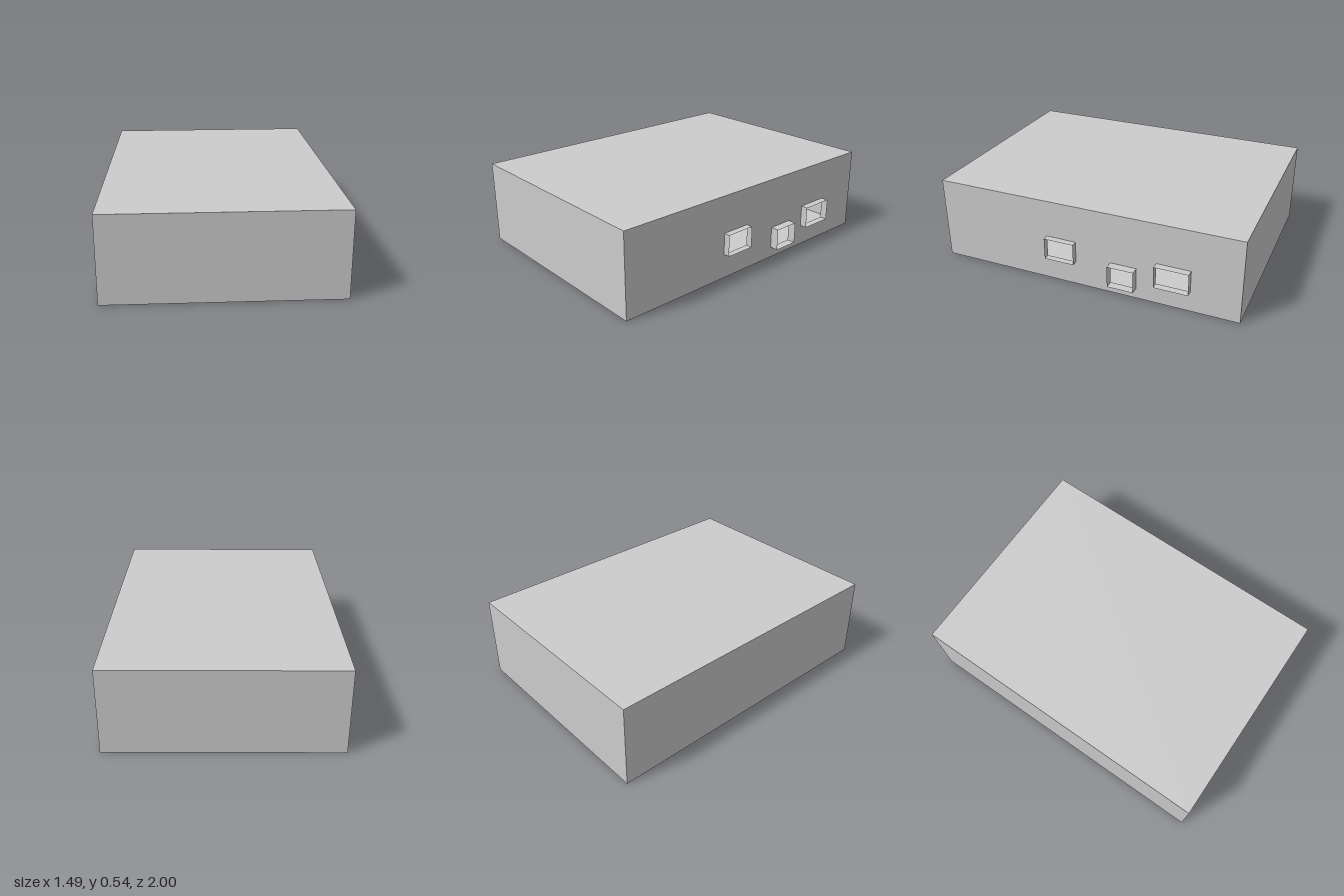
import * as THREE from 'three';

const BODY = { x0: -0.745, x1: 0.69, h: 0.543, z: 1 };

// Port openings in the side wall: z range, y range, outer x of the sleeve
const PORTS = [
  { name: 'frontPort', z: [0.053, 0.25], y: [0.16, 0.3], x: 0.732 },
  { name: 'middlePort', z: [-0.35, -0.18], y: [0.07, 0.21], x: 0.745 },
  { name: 'rearPort', z: [-0.692, -0.475], y: [0.137, 0.278], x: 0.737 },
];

const material = new THREE.MeshStandardMaterial({
  color: 0xcccccc, flatShading: true, side: THREE.DoubleSide,
});

// Thin box between two corners, leaving out the first faces (order: +x, -x, ...)
function openBox(name, [x0, x1], [y0, y1], [z0, z1], skipFaces) {
  const geometry = new THREE.BoxGeometry(x1 - x0, y1 - y0, z1 - z0);
  geometry.setIndex(Array.from(geometry.index.array).slice(skipFaces * 6));
  geometry.clearGroups();
  geometry.translate((x0 + x1) / 2, (y0 + y1) / 2, (z0 + z1) / 2);
  const mesh = new THREE.Mesh(geometry, material);
  mesh.name = name;
  return mesh;
}

// Rectangle in the plane of the side wall, where shape x is -z
function rectangle(path, [z0, z1], [y0, y1]) {
  path.moveTo(-z1, y0);
  path.lineTo(-z0, y0);
  path.lineTo(-z0, y1);
  path.lineTo(-z1, y1);
  path.closePath();
  return path;
}

export function createModel() {
  const model = new THREE.Group();
  model.name = 'enclosure';

  // Hollow casing, open towards +x
  model.add(openBox('casing', [BODY.x0, BODY.x1], [0, BODY.h], [-BODY.z, BODY.z], 1));

  // Side wall pierced by the ports
  const wall = rectangle(new THREE.Shape(), [-BODY.z, BODY.z], [0, BODY.h]);
  for (const p of PORTS) wall.holes.push(rectangle(new THREE.Path(), p.z, p.y));
  const wallGeometry = new THREE.ShapeGeometry(wall);
  wallGeometry.rotateY(Math.PI / 2).translate(BODY.x1, 0, 0);
  const portWall = new THREE.Mesh(wallGeometry, material);
  portWall.name = 'portWall';
  model.add(portWall);

  // Sleeves around the ports, open at both ends
  for (const p of PORTS) model.add(openBox(p.name, [BODY.x1, p.x], p.y, p.z, 2));

  return model;
}
